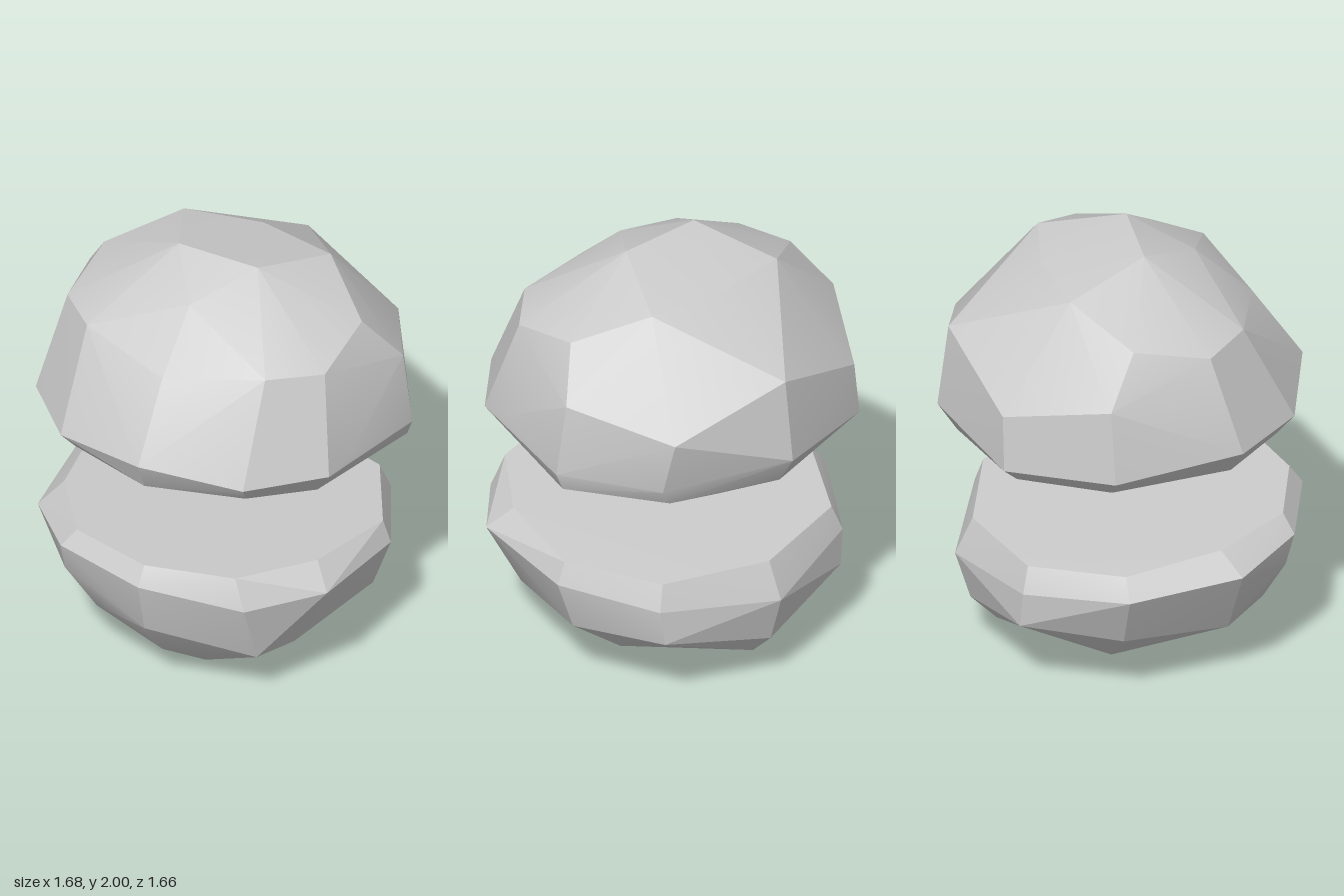
import * as THREE from 'three';
import { ConvexGeometry } from 'three/addons/geometries/ConvexGeometry.js';
import { toCreasedNormals } from 'three/addons/utils/BufferGeometryUtils.js';

// Faceted stone from its corners; paired corners are mirrored across x = 0
function stone(name, pairs, singles) {
  const points = singles.map(p => new THREE.Vector3(...p));
  for (const [x, y, z] of pairs) {
    points.push(new THREE.Vector3(x, y, z), new THREE.Vector3(-x, y, z));
  }
  const geometry = toCreasedNormals(new ConvexGeometry(points), 0.3);
  const mesh = new THREE.Mesh(geometry, new THREE.MeshStandardMaterial({ color: 0xcccccc }));
  mesh.name = name;
  return mesh;
}

export function createModel() {
  const group = new THREE.Group();
  group.name = 'splitStone';

  // Upper half: domed cap with a narrow chamfer around a nearly flat underside
  group.add(stone('upperHalf', [
    [0.2, 2.0, 0.07], [0.37, 1.9, -0.3],                               // crown
    [0.65, 1.77, -0.07], [0.65, 1.7, 0.28], [0.45, 1.72, 0.47],        // shoulder
    [0.79, 1.55, -0.2], [0.53, 1.44, -0.64],                           // side and back corners
    [0.74, 1.25, 0.41], [0.84, 1.21, -0.19],                           // rim
    [0.43, 1.16, 0.62], [0.66, 1.13, 0.37], [0.76, 1.13, -0.19], [0.5, 1.1, -0.57], // underside
  ], [
    [0, 1.9, 0.34], [0, 1.91, -0.36],
    [0, 1.66, 0.6], [0, 1.32, 0.83], [0, 1.18, 0.77],
    [0, 1.63, -0.78], [0, 1.24, -0.83], [0, 1.1, -0.74],
    [0.46, 1.31, 0.65], [0.455, 1.25, 0.69], [-0.46, 1.26, 0.7],
    [0.55, 1.18, -0.58], [-0.56, 1.18, -0.64],
    [0.77, 1.29, 0.24], [0.81, 1.13, -0.2], [0.24, 1.06, -0.6],
  ]));

  // Lower half: bowl with a sloping flat top
  group.add(stone('lowerHalf', [
    [0.4, 0.737, 0.66], [0.64, 0.713, 0.33], [0.73, 0.675, -0.12], [0.5, 0.65, -0.52], // flat top
    [0.73, 0.61, 0.41], [0.54, 0.53, -0.55],                           // rim
    [0.68, 0.32, -0.12], [0.55, 0.27, 0.38], [0.52, 0.36, -0.56],      // lower sides
    [0.4, 0.1, -0.12], [0.1, 0.005, -0.12], [0.1, 0.015, 0.38],        // base
  ], [
    [0, 0.745, 0.77], [0, 0.64, -0.67],
    [0, 0.66, 0.83], [0, 0.4, 0.77], [0, 0.18, 0.6],
    [0, 0.47, -0.75], [0, 0.24, -0.68], [0, 0.12, -0.56],
    [-0.81, 0.58, -0.12], [0.77, 0.57, -0.12],
    [-0.46, 0.655, 0.7], [0.46, 0.59, 0.69],
    [-0.46, 0.51, 0.66], [0.46, 0.27, 0.57], [-0.34, 0.29, 0.58],
  ]));

  return group;
}
